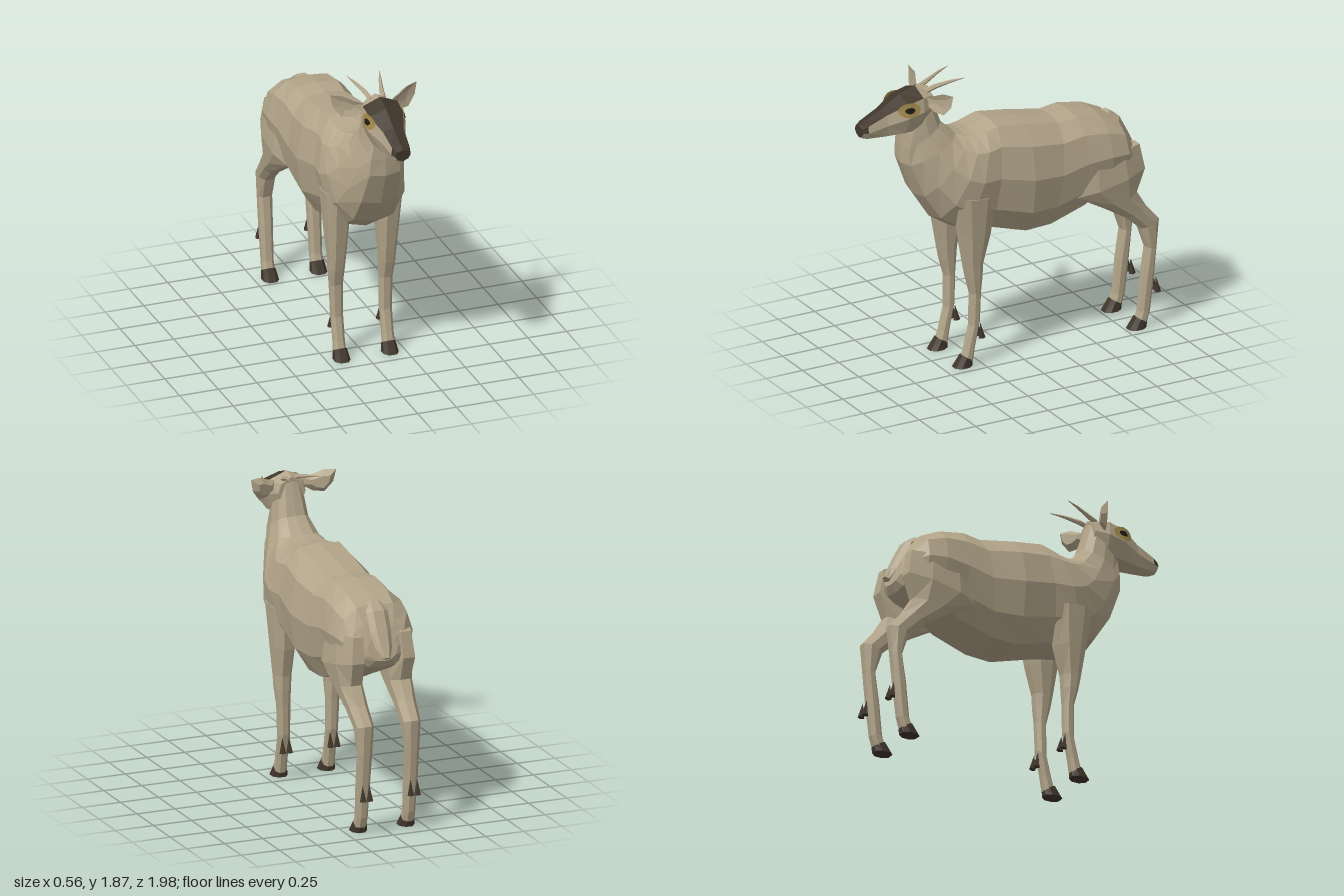
import * as THREE from 'three';

const V = (x, y, z) => new THREE.Vector3(x, y, z);
const mix = THREE.MathUtils.lerp;

// Flat-faced skin over closed rings with capped ends; pick(i, k) chooses the material slot
function loft(rings, pick = () => 0) {
  const slots = [[], []], n = rings[0].length;
  const add = (i, k, a, b, c) => slots[pick(i, k)].push([a, b, c]);
  for (let i = 0; i < rings.length - 1; i++) {
    for (let k = 0; k < n; k++) {
      const a = rings[i][k], b = rings[i][(k + 1) % n];
      const c = rings[i + 1][k], d = rings[i + 1][(k + 1) % n];
      add(i, k, a, b, d);
      add(i, k, a, d, c);
    }
  }
  const mid = r => r.reduce((s, p) => s.add(p), V(0, 0, 0)).divideScalar(n);
  const first = rings[0], last = rings[rings.length - 1];
  for (let k = 0; k < n; k++) {
    add(-1, k, mid(first), first[(k + 1) % n], first[k]);
    add(rings.length, k, mid(last), last[k], last[(k + 1) % n]);
  }
  // turn the skin outward whichever way the rings run
  const tris = slots.flat();
  const volume = tris.reduce((s, [a, b, c]) => s + a.dot(b.clone().cross(c)), 0);
  const pts = tris.flatMap(([a, b, c]) => volume > 0 ? [a, b, c] : [a, c, b]);
  const geo = new THREE.BufferGeometry().setFromPoints(pts);
  geo.addGroup(0, slots[0].length * 3, 0);
  if (slots[1].length) geo.addGroup(slots[0].length * 3, slots[1].length * 3, 1);
  geo.computeVertexNormals();
  return geo;
}

// Closed ring from a right-hand half whose first and last points lie on x = 0
const mirrorRing = half => [...half, ...half.slice(1, -1).reverse().map(p => V(-p.x, p.y, p.z))];

// Head stations: z, top, bottom, brow drop, brow / cheek / jaw half widths
const HEAD = [
  [1.0, 1.65, 1.575, 0.012, 0.04, 0.05, 0.035],
  [0.965, 1.667, 1.558, 0.012, 0.055, 0.062, 0.045],
  [0.84, 1.73, 1.555, 0.02, 0.067, 0.08, 0.06],
  [0.72, 1.80, 1.56, 0.035, 0.108, 0.125, 0.085],
  [0.615, 1.835, 1.572, 0.045, 0.112, 0.125, 0.085],
  [0.53, 1.82, 1.62, 0.04, 0.07, 0.09, 0.06],
];
const cheekY = (t, b) => mix(b, t, 0.5);

// Half width of the face between brow and cheek
function faceX(z, y) {
  let i = 0;
  while (i < HEAD.length - 2 && z < HEAD[i + 1][0]) i++;
  const f = (HEAD[i][0] - z) / (HEAD[i][0] - HEAD[i + 1][0]);
  const [, t, b, drop, brow, cheek] = HEAD[i].map((v, j) => mix(v, HEAD[i + 1][j], f));
  return mix(cheek, brow, THREE.MathUtils.clamp((y - cheekY(t, b)) / (t - drop - cheekY(t, b)), 0, 1));
}

export function createModel() {
  const model = new THREE.Group();
  const material = (name, color, side = THREE.FrontSide) => {
    const m = new THREE.MeshStandardMaterial({ color, side });
    m.name = name;
    return m;
  };
  const coat = material('tan coat', 0xb3a58a);
  const dark = material('dark brown', 0x40362b);
  const amber = material('amber eye patch', 0xa38a4c, THREE.DoubleSide);
  const black = material('black eye', 0x1e1a16, THREE.DoubleSide);
  const put = (name, geo, mat, parent = model) => {
    const mesh = new THREE.Mesh(geo, mat);
    mesh.name = name;
    parent.add(mesh);
    return mesh;
  };

  // Neck and torso: top z, y, bottom z, y, then back / flank / belly half widths
  const torso = [
    [0.53, 1.79, 0.66, 1.60, 0.04, 0.08, 0.05],
    [0.505, 1.71, 0.71, 1.555, 0.05, 0.10, 0.07],
    [0.465, 1.59, 0.715, 1.46, 0.06, 0.115, 0.09],
    [0.37, 1.50, 0.715, 1.35, 0.075, 0.155, 0.10],
    [0.31, 1.485, 0.63, 1.13, 0.11, 0.205, 0.12],
    [0.25, 1.485, 0.52, 0.96, 0.13, 0.25, 0.13],
    [0.19, 1.50, 0.38, 0.87, 0.14, 0.265, 0.14],
    [0.12, 1.525, 0.19, 0.835, 0.135, 0.25, 0.14],
    [-0.07, 1.50, -0.07, 0.757, 0.13, 0.275, 0.15],
    [-0.31, 1.455, -0.24, 0.768, 0.125, 0.25, 0.15],
    [-0.43, 1.467, -0.48, 0.84, 0.13, 0.25, 0.14],
    [-0.60, 1.435, -0.63, 0.91, 0.13, 0.26, 0.12],
    [-0.72, 1.38, -0.75, 0.96, 0.12, 0.245, 0.11],
    [-0.78, 1.28, -0.83, 1.01, 0.10, 0.195, 0.09],
    [-0.82, 1.20, -0.86, 1.06, 0.05, 0.10, 0.05],
  ];
  put('body', loft(torso.map(([tz, ty, bz, by, back, flank, belly]) => mirrorRing([
    [0, 0], [0.02, back], [0.17, flank * 0.85], [0.45, flank], [0.75, flank * 0.88], [0.95, belly], [1, 0],
  ].map(([f, x]) => V(x, mix(ty, by, f), mix(tz, bz, f)))))), coat);

  // Head with dark blaze and nose
  put('head', loft(HEAD.map(([z, t, b, drop, brow, cheek, jaw]) => mirrorRing([
    V(0, t, z), V(brow, t - drop, z), V(cheek, cheekY(t, b), z), V(jaw, b + 0.015, z), V(0, b, z),
  ])), (i, k) => {
    const top = k === 0 || k === 7, upper = top || k === 1 || k === 6;
    return i < 0 || (i === 0 && upper) || (i < 4 && top) ? 1 : 0;
  }), [coat, dark]);

  // Tail
  const tail = [[-0.70, 1.39, 0.05], [-0.765, 1.345, 0.07], [-0.82, 1.24, 0.068], [-0.865, 1.15, 0.055], [-0.9, 1.085, 0.03]];
  put('tail', loft(tail.map(([z, y, w]) => [
    V(w, y - 0.005, z + 0.01), V(w * 0.5, y + 0.01, z - 0.012), V(-w * 0.5, y + 0.01, z - 0.012),
    V(-w, y - 0.005, z + 0.01), V(0, y - 0.01, z + 0.025),
  ])), coat);

  // Leg stations: front z, y, back z, y, inner x, outer x
  const frontLeg = [
    [0.44, 1.12, 0.16, 1.10, 0.09, 0.25],
    [0.40, 0.88, 0.20, 0.84, 0.095, 0.232],
    [0.365, 0.66, 0.245, 0.66, 0.11, 0.215],
    [0.35, 0.58, 0.25, 0.57, 0.115, 0.212],
    [0.322, 0.47, 0.257, 0.47, 0.12, 0.202],
    [0.325, 0.26, 0.262, 0.28, 0.12, 0.195],
    [0.362, 0.11, 0.295, 0.12, 0.122, 0.193],
    [0.378, 0.06, 0.31, 0.03, 0.12, 0.196],
  ];
  const hindLeg = [
    [-0.40, 1.20, -0.83, 1.22, 0.08, 0.235],
    [-0.39, 0.96, -0.86, 1.06, 0.08, 0.255],
    [-0.58, 0.85, -0.81, 0.91, 0.09, 0.235],
    [-0.74, 0.75, -0.88, 0.80, 0.097, 0.218],
    [-0.845, 0.655, -0.972, 0.695, 0.098, 0.208],
    [-0.89, 0.52, -0.957, 0.52, 0.11, 0.20],
    [-0.862, 0.34, -0.937, 0.31, 0.115, 0.198],
    [-0.838, 0.11, -0.912, 0.10, 0.12, 0.193],
    [-0.822, 0.06, -0.89, 0.03, 0.118, 0.196],
  ];
  const frontHoof = [[0.382, 0.075, 0.312, 0.035, 0.117, 0.196], [0.432, 0, 0.315, 0, 0.107, 0.205]];
  const hindHoof = [[-0.818, 0.075, -0.892, 0.035, 0.117, 0.196], [-0.768, 0, -0.885, 0, 0.107, 0.205]];
  // eight-sided ring, narrower at front and back
  const legRings = (rows, s) => rows.map(([fz, fy, bz, by, xi, xo]) =>
    [[0, 0.25], [0, 0.75], [0.28, 1], [0.7, 1], [1, 0.72], [1, 0.28], [0.7, 0], [0.28, 0]]
      .map(([f, u]) => V(s * mix(xi, xo, u), mix(fy, by, f), mix(fz, bz, f))));

  for (const [side, s] of [['left', 1], ['right', -1]]) {
    // Legs, hooves and dewclaws
    for (const [end, leg, hoof, cz, cy] of [['Front', frontLeg, frontHoof, 0.257, 0.22], ['Hind', hindLeg, hindHoof, -0.955, 0.27]]) {
      const group = new THREE.Group();
      group.name = `${side}${end}Leg`;
      model.add(group);
      put('leg', loft(legRings(leg, s)), coat, group);
      put('hoof', loft(legRings(hoof, s)), dark, group);
      for (const dx of [-0.022, 0.022]) {
        const claw = put('dewclaw', new THREE.ConeGeometry(0.022, 0.1, 5).toNonIndexed(), dark, group);
        claw.geometry.computeVertexNormals();
        claw.position.set(s * 0.157 + dx, cy, cz);
        claw.rotation.x = 0.12;
      }
    }

    // Dished ear: outline joined to a sunken front point and a rounded back
    const earZ = x => 0.585 - 0.45 * (x - 0.1);
    const outline = [[0.085, 1.79], [0.14, 1.805], [0.21, 1.838], [0.28, 1.842], [0.265, 1.765], [0.215, 1.70], [0.15, 1.705], [0.09, 1.74]];
    const rim = outline.map(([x, y]) => V(s * x, y, earZ(x)));
    const inset = (f, dz) => outline.map(([x, y]) => V(s * mix(0.18, x, f), mix(1.77, y, f), earZ(mix(0.18, x, f)) + dz));
    put(`${side}Ear`, loft([inset(0.4, -0.012), rim, inset(0.55, -0.04)]), coat);

    // Horn sweeping back
    const horn = [[0.04, 1.80, 0.57, 0.018], [0.052, 1.825, 0.5, 0.015], [0.08, 1.85, 0.41, 0.009], [0.105, 1.864, 0.33, 0.002]];
    put(`${side}Horn`, loft(horn.map(([x, y, z, r]) => Array.from({ length: 6 }, (_, k) =>
      V(s * x + r * Math.cos(k * Math.PI / 3), y + r * Math.sin(k * Math.PI / 3), z)))), coat);

    // Eye plates wrapped onto the face
    for (const [name, mat, rz, ry, lift] of [['EyePatch', amber, 0.07, 0.047, 0.005], ['Eye', black, 0.032, 0.019, 0.009]]) {
      const geo = new THREE.RingGeometry(0.001, 1, 12, 4);
      const p = geo.attributes.position;
      for (let i = 0; i < p.count; i++) {
        const z = 0.712 + rz * p.getX(i), y = 1.732 + ry * p.getY(i);
        p.setXYZ(i, s * (faceX(z, y) + lift), y, z);
      }
      // front faces look outward on both sides
      if (s > 0) geo.setIndex(Array.from(geo.index.array).reverse());
      geo.computeVertexNormals();
      put(`${side}${name}`, geo, mat);
    }
  }
  return model;
}
